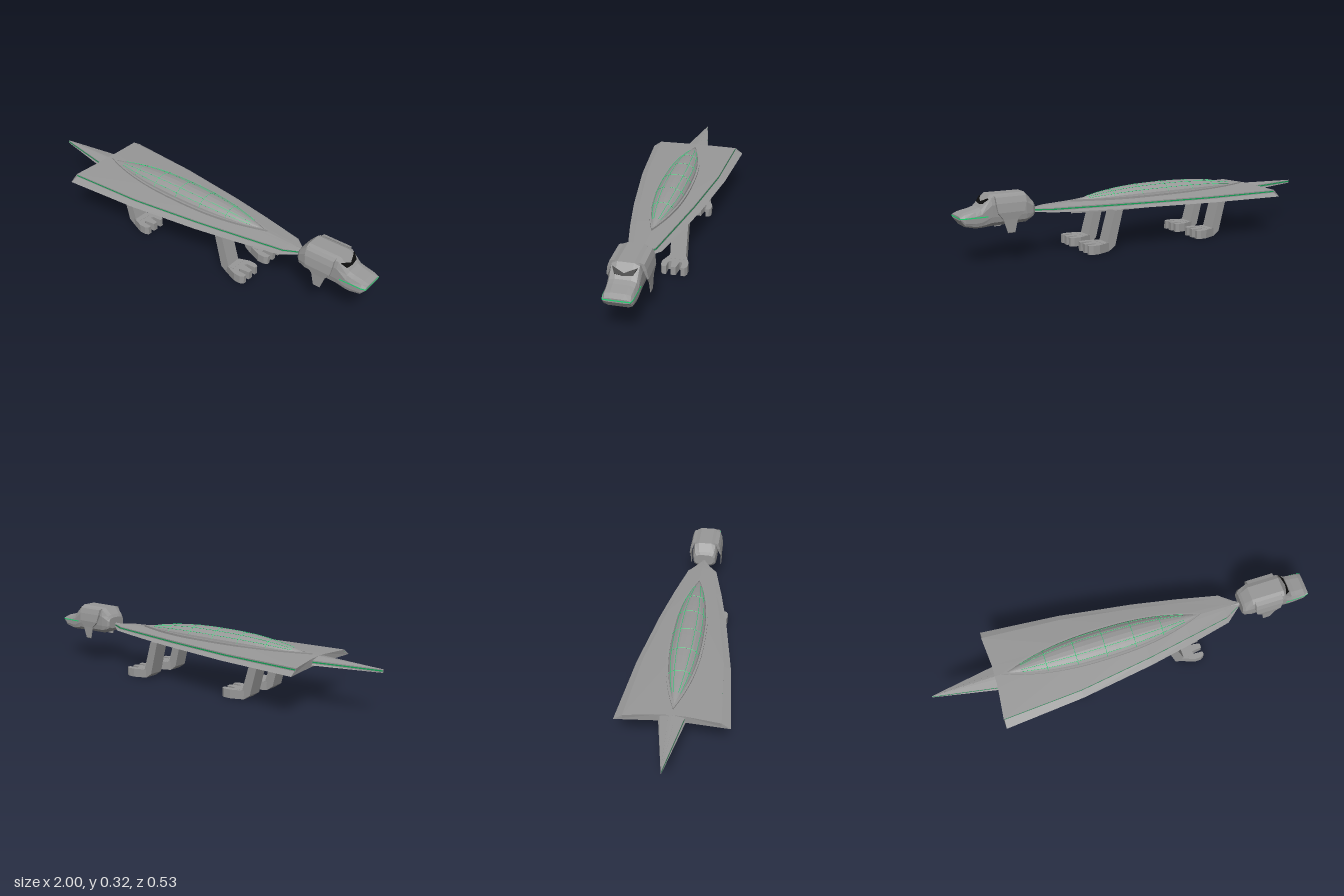
import * as THREE from 'three';

const mat = (color) => new THREE.MeshStandardMaterial({ color, flatShading: true, side: THREE.DoubleSide });
const grey = mat(0x989898), green = mat(0x12a556), bright = mat(0x1fdc74), dark = mat(0x0c0c0c);

// Surface through rows of [x, y, z] points; each row has the same length.
function grid(rows, closed = false) {
  const pos = [], n = rows[0].length;
  for (let i = 0; i < rows.length - 1; i++) {
    for (let j = 0; j < (closed ? n : n - 1); j++) {
      const k = (j + 1) % n;
      const a = rows[i][j], b = rows[i + 1][j], c = rows[i + 1][k], d = rows[i][k];
      pos.push(...a, ...b, ...c, ...a, ...c, ...d);
    }
  }
  const g = new THREE.BufferGeometry();
  g.setAttribute('position', new THREE.Float32BufferAttribute(pos, 3));
  g.computeVertexNormals();
  return g;
}

function add(parent, name, geometry, material = grey) {
  const mesh = new THREE.Mesh(geometry, material);
  mesh.name = name;
  parent.add(mesh);
}

// Flat slab from a plan outline of [x, z] points, between two heights.
function slab(outline, y0, y1, hole) {
  const pts = (o) => o.map(([x, z]) => new THREE.Vector2(x, -z));
  const shape = new THREE.Shape(pts(outline));
  if (hole) shape.holes.push(new THREE.Path(pts(hole)));
  return new THREE.ExtrudeGeometry(shape, { depth: y1 - y0, bevelEnabled: false })
    .rotateX(-Math.PI / 2).translate(0, y0, 0);
}

// Fullness of the pointed ovals along their length, t from -1 to 1
const taper = (t) => 1 - Math.abs(t) ** 2.4;

// Pointed oval outline
function lens(x0, x1, w, n = 20) {
  const side = (s) => Array.from({ length: n }, (_, i) => {
    const t = -1 + (2 * i) / n;
    return [(x0 + x1) / 2 + s * t * (x1 - x0) / 2, s * w * taper(t)];
  });
  return [...side(1), ...side(-1)];
}

// Half of a board; stations are [x, xCentre, zInner, zOuter, yCentre, yEdge, yFlare].
function halfBoard(parent, name, stations) {
  const rows = stations.map(([x, xc, zi, zo, yc, ye, yf]) => [
    [xc, yc, 0], [xc, yc - (yc - ye) * 0.2, zi * 0.27], [x, ye, zi], [x, 0.2245, zi],
    [x, 0.2185, zi], [x, 0.2145, zi], [x, yf, zo], [xc, yf, zo * 0.27], [xc, yf, 0]]);
  const cut = (a, b) => grid(rows.map((r) => r.slice(a, b)));
  add(parent, name + 'Top', cut(0, 4));
  add(parent, name + 'Stripe', cut(3, 5), green);
  add(parent, name + 'Underside', cut(4, 9));
  // closing walls at both ends
  for (const r of [rows[0], rows[rows.length - 1]]) {
    add(parent, name + 'End', grid([[r[0], r[1], r[2], r[3]], [r[8], r[7], r[6], r[5]]]));
  }
}

function board() {
  const g = new THREE.Group();
  g.name = 'board';
  for (const s of [1, -1]) {
    const half = new THREE.Group();
    half.name = s > 0 ? 'rightBoardHalf' : 'leftBoardHalf';
    half.scale.z = s;
    halfBoard(half, 'wing', [
      [0.635, 0.635, 0.008, 0.01, 0.229, 0.227, 0.213],
      [0.55, 0.55, 0.055, 0.08, 0.234, 0.229, 0.211],
      [0.33, 0.33, 0.097, 0.13, 0.241, 0.23, 0.208],
      [0.1, 0.1, 0.14, 0.175, 0.244, 0.23, 0.205],
      [-0.28, -0.28, 0.197, 0.232, 0.245, 0.23, 0.202],
      [-0.69, -0.675, 0.224, 0.267, 0.241, 0.23, 0.2]]);
    halfBoard(half, 'tail', [
      [-0.6, -0.6, 0.07, 0.078, 0.243, 0.23, 0.206],
      [-1, -1, 0.001, 0.001, 0.23, 0.229, 0.213]]);
    g.add(half);
  }
  add(g, 'canopyRim', slab(lens(-0.64, 0.42, 0.088), 0.225, 0.248, lens(-0.61, 0.4, 0.078)));
  add(g, 'bellyRim', slab(lens(-0.67, 0.46, 0.105), 0.19, 0.208));
  add(g, 'bellyPan', slab(lens(-0.6, 0.42, 0.07), 0.18, 0.2));
  return g;
}

// Domed canopy: t runs along its length, a across it, both from -1 to 1
function canopyPoint(t, a, lift = 0) {
  const w = 0.08 * taper(t), h = 0.055 * taper(t);
  const ang = a * Math.PI / 2;
  return [-0.105 + 0.51 * t, 0.241 + lift + h * Math.cos(ang), w * Math.sin(ang)];
}

function canopy() {
  const g = new THREE.Group();
  g.name = 'canopy';
  const steps = (n, m = 1) => Array.from({ length: n + 1 }, (_, i) => m * (-1 + (2 * i) / n));
  add(g, 'canopyShell', grid(steps(20).map((t) => steps(10).map((a) => canopyPoint(t, a)))));
  const line = (pts) => {
    const curve = new THREE.CatmullRomCurve3(pts.map((p) => new THREE.Vector3(...p)));
    add(g, 'canopyLine', new THREE.TubeGeometry(curve, 24, 0.0011, 4), bright);
  };
  for (const a of [-0.6, -0.3, 0.3, 0.6]) line(steps(20, 0.85).map((t) => canopyPoint(t, a, 0.0005)));
  for (const t of [-0.6, -0.3, 0, 0.3, 0.6]) line(steps(10, 0.85).map((a) => canopyPoint(t, a, 0.0005)));
  return g;
}

function leg(x, s) {
  const g = new THREE.Group();
  g.name = (x > 0 ? 'front' : 'rear') + (s > 0 ? 'Right' : 'Left') + 'Leg';
  const profile = [[-0.045, 0.2], [0, 0.025], [0.035, 0], [0.075, 0], [0.075, 0.045], [0.045, 0.045], [0, 0.2]];
  const shin = new THREE.Shape(profile.map((p) => new THREE.Vector2(...p)));
  add(g, 'shin', new THREE.ExtrudeGeometry(shin, { depth: 0.08, bevelEnabled: false }).translate(0, 0, -0.04));
  // foot with three spread toes
  const edge = [[0.035, 0.04], [0.1, 0.065], [0.135, 0.065], [0.153, 0.055], [0.153, 0.036],
    [0.105, 0.034], [0.098, 0.02], [0.153, 0.012]];
  const foot = [...edge, ...edge.map(([px, pz]) => [px, -pz]).reverse()];
  add(g, 'foot', slab(foot, 0, 0.044));
  g.position.set(x, 0, s * 0.1);
  return g;
}

function head() {
  const g = new THREE.Group();
  g.name = 'head';
  // cross-sections: x, bottom, top, half width
  const rows = [[0.635, 0.205, 0.265, 0.055], [0.645, 0.193, 0.28, 0.063], [0.68, 0.177, 0.318, 0.069],
    [0.85, 0.175, 0.319, 0.07], [0.9, 0.171, 0.264, 0.069], [0.925, 0.171, 0.256, 0.068],
    [0.975, 0.183, 0.245, 0.066], [0.998, 0.214, 0.232, 0.06]].map(([x, b, t, w]) => {
    const h = t - b;
    const half = [[b, w - 0.022], [b + h * 0.12, w - 0.004], [b + h * 0.3, w],
      [t - h * 0.32, w], [t - h * 0.08, w - 0.009], [t, w - 0.033]];
    return [...half.map(([y, z]) => [x, y, z]), ...half.reverse().map(([y, z]) => [x, y, -z])];
  });
  add(g, 'skull', grid(rows, true));
  for (const [r, name] of [[rows[0], 'skullBack'], [rows[7], 'noseTip']]) {
    add(g, name, grid([r.slice(0, 6), r.slice(6).reverse()]));
  }
  const jaw = [[0.87, 0.071], [0.925, 0.069], [0.975, 0.067], [0.999, 0.061]];
  add(g, 'mouthStripe', slab([...jaw, ...jaw.map(([x, z]) => [x, -z]).reverse()], 0.2205, 0.2255), bright);
  add(g, 'neck', new THREE.CylinderGeometry(0.011, 0.011, 0.07, 8).rotateZ(Math.PI / 2).translate(0.62, 0.221, 0));

  for (const s of [1, -1]) {
    // slanted eye lying on the brow slope
    const at = (y, z, d) => [0.85 + (0.319 - y) * 0.91 + d, y + d, s * z];
    const eye = [[0.304, 0.055], [0.284, 0], [0.275, 0], [0.279, 0.04]];
    const ring = (d) => eye.map(([y, z]) => at(y, z, d));
    const front = ring(0.0015);
    add(g, 'eye', grid([ring(-0.006), front], true), dark);
    add(g, 'eyeFace', grid([[front[0], front[1]], [front[3], front[2]]]), dark);

    // hanging ear: z, y, back x, front x, thickness
    const ear = [[0.055, 0.314, 0.69, 0.835, 0.012], [0.076, 0.308, 0.69, 0.835, 0.014],
      [0.086, 0.28, 0.69, 0.835, 0.014], [0.093, 0.238, 0.7, 0.83, 0.007],
      [0.091, 0.205, 0.735, 0.805, 0.004], [0.09, 0.143, 0.75, 0.785, 0.003]];
    const sections = ear.map(([z, y, x0, x1, d]) => [[x0, y, s * z], [x1, y, s * z],
      [x1, y - 0.003, s * (z - d)], [x0, y - 0.003, s * (z - d)]]);
    add(g, s > 0 ? 'rightEar' : 'leftEar', grid(sections, true));
    const tip = sections[5];
    add(g, 'earTip', grid([[tip[0], tip[1]], [tip[3], tip[2]]]));
  }
  return g;
}

export function createModel() {
  const model = new THREE.Group();
  model.name = 'fourLeggedBoard';
  model.add(board(), canopy(), head());
  for (const x of [-0.385, 0.25]) for (const s of [1, -1]) model.add(leg(x, s));
  return model;
}
